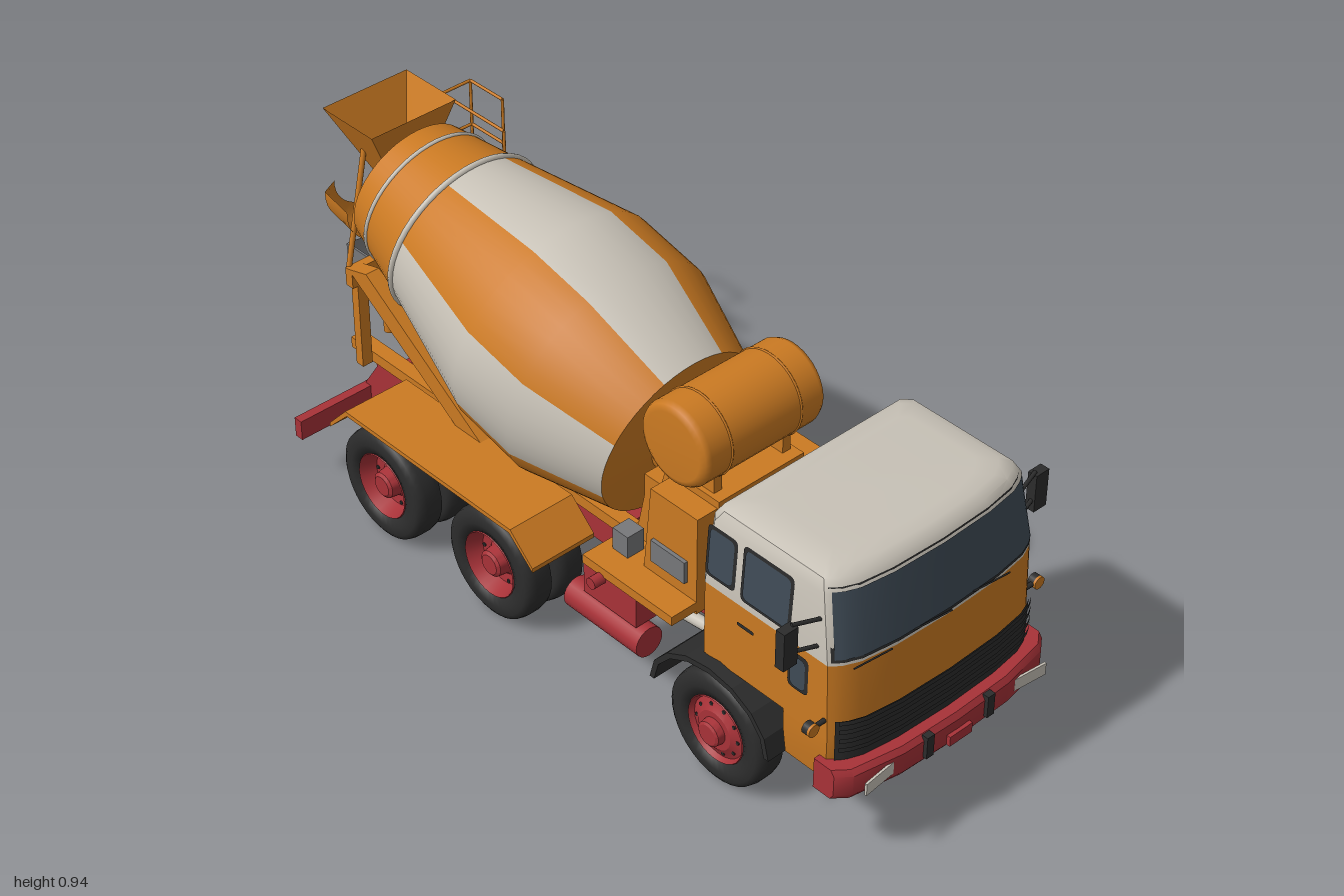
import * as THREE from 'three';
import { toCreasedNormals } from 'three/addons/utils/BufferGeometryUtils.js';

const mat = (name, hex, double) => {
  const m = new THREE.MeshStandardMaterial({ color: hex });
  m.name = name;
  if (double) m.side = THREE.DoubleSide;
  return m;
};
const V = (x, y, z) => new THREE.Vector3(x, y, z);

export function createModel() {
  const orange = mat('orange', 0xcb7a22, true), white = mat('offWhite', 0xc8c2b7), red = mat('red', 0xa83238);
  const black = mat('black', 0x2c2c2c, true), glass = mat('glass', 0x3f4b56, true), grey = mat('grey', 0x77787a, true);
  const root = new THREE.Group();
  root.name = 'mixerTruck';

  // ---- helpers ----
  const add = (name, geo, m, parent = root) => {
    const mesh = new THREE.Mesh(geo, m);
    mesh.name = name;
    parent.add(mesh);
    return mesh;
  };
  const box = (name, m, x0, x1, y0, y1, z0, z1) => {
    const b = add(name, new THREE.BoxGeometry(x1 - x0, y1 - y0, z1 - z0), m);
    b.position.set((x0 + x1) / 2, (y0 + y1) / 2, (z0 + z1) / 2);
    return b;
  };
  const rod = (name, m, a, b, r = 0.006, n = 8) => {
    const mesh = add(name, new THREE.CylinderGeometry(r, r, a.distanceTo(b), n), m);
    mesh.position.copy(a).lerp(b, 0.5);
    mesh.quaternion.setFromUnitVectors(V(0, 1, 0), b.clone().sub(a).normalize());
  };
  const pipe = (name, m, pts, r) => add(name, new THREE.TubeGeometry(new THREE.CatmullRomCurve3(pts, false, 'catmullrom', 0.2), 24, r, 10), m);
  const slab = (name, m, pts, z0, z1) => {
    const shape = new THREE.Shape(pts.map(p => new THREE.Vector2(p[0], p[1])));
    add(name, new THREE.ExtrudeGeometry(shape, { depth: z1 - z0, bevelEnabled: false }), m).position.z = z0;
  };
  const lathe = (pts, seg = 32, p0 = 0, len = Math.PI * 2) =>
    new THREE.LatheGeometry(pts.map(p => new THREE.Vector2(p[0], p[1])), seg, p0, len);
  // stacked cross-sections, optionally closed around and capped
  const loft = (rings, closed = true, caps = true) => {
    const pos = [], n = rings[0].length, tri = (...p) => p.forEach(v => pos.push(v.x, v.y, v.z));
    for (let j = 0; j < rings.length - 1; j++) for (let i = 0; i < (closed ? n : n - 1); i++) {
      const k = (i + 1) % n, a = rings[j], b = rings[j + 1];
      tri(a[i], a[k], b[k]);
      tri(a[i], b[k], b[i]);
    }
    if (caps) for (let i = 1; i < n - 1; i++) {
      const a = rings[0], b = rings[rings.length - 1];
      tri(b[0], b[i], b[i + 1]);
      tri(a[0], a[i + 1], a[i]);
    }
    const g = new THREE.BufferGeometry();
    g.setAttribute('position', new THREE.Float32BufferAttribute(pos, 3));
    return toCreasedNormals(g, 0.6);
  };

  // ---- cab: [y, rear x, front x, half width] ----
  const levels = [[0.2, 0.74, 0.93, 0.3], [0.28, 0.74, 0.945, 0.31], [0.33, 0.495, 0.945, 0.31], [0.53, 0.495, 0.937, 0.31],
    [0.7, 0.51, 0.908, 0.298], [0.726, 0.525, 0.892, 0.285], [0.738, 0.545, 0.872, 0.26], [0.742, 0.58, 0.84, 0.22]];
  const at = y => {
    let i = 0;
    while (i < levels.length - 2 && y > levels[i + 1][0]) i++;
    const t = (y - levels[i][0]) / (levels[i + 1][0] - levels[i][0]);
    return levels[i].map((v, k) => v + (levels[i + 1][k] - v) * t);
  };
  const front = (y, s, off = 0) => {
    const [, , xf, w] = at(y);
    return V(xf - 0.02 * s * s - 0.035 * s ** 8 + off, y, -s * w);
  };
  const steps = [-1, -0.97, -0.92, -0.8, -0.5, 0, 0.5, 0.8, 0.92, 0.97, 1];
  const ring = (y, x0 = at(y)[1]) => {
    const w = at(y)[3];
    return [V(x0, y, w - 0.02), V(x0 + 0.02, y, w), ...steps.map(s => front(y, s)), V(x0 + 0.02, y, -w), V(x0, y, -w + 0.02)];
  };
  const strip = (name, m, y0, y1, off, k) =>
    add(name, loft([y0, y1].map(y => steps.map(s => front(y, s * k, off))), false, false), m);
  add('cabFrontLower', loft([ring(0.2, 0.74), ring(0.28, 0.74), ring(0.33, 0.74)]), orange);
  add('cabBody', loft([ring(0.33), ring(0.53)]), orange);
  add('cabUpper', loft([0.53, 0.7, 0.726, 0.738, 0.742].map(y => ring(y))), white);
  strip('windscreenSeal', black, 0.538, 0.712, 0.002, 0.985);
  strip('windscreen', glass, 0.546, 0.705, 0.004, 0.97);
  strip('grille', black, 0.27, 0.382, 0.006, 0.97);
  for (const y of [0.3, 0.325, 0.35, 0.374]) strip('grilleSlat', black, y, y + 0.012, 0.012, 0.96);

  // rounded side panes that follow the leaning cab wall
  const pane = (name, m, x0, x1, y0, y1, side, off, r = 0.015) => {
    const s = new THREE.Shape();
    s.moveTo(x0 + r, y0).lineTo(x1 - r, y0).quadraticCurveTo(x1, y0, x1, y0 + r).lineTo(x1, y1 - r)
      .quadraticCurveTo(x1, y1, x1 - r, y1).lineTo(x0 + r, y1).quadraticCurveTo(x0, y1, x0, y1 - r)
      .lineTo(x0, y0 + r).quadraticCurveTo(x0, y0, x0 + r, y0);
    const g = new THREE.ShapeGeometry(s, 4), p = g.attributes.position;
    for (let i = 0; i < p.count; i++) p.setZ(i, side * (at(p.getY(i))[3] + off));
    if (side < 0) g.setIndex([...g.index.array].reverse());
    g.computeVertexNormals();
    add(name, g, m);
  };
  for (const s of [1, -1]) {
    for (const [x0, x1, y0, y1] of [[0.515, 0.605, 0.555, 0.688], [0.622, 0.772, 0.548, 0.692], [0.77, 0.83, 0.41, 0.51]]) {
      pane('windowSeal', black, x0, x1, y0, y1, s, 0.002);
      pane('sideWindow', glass, x0 + 0.008, x1 - 0.008, y0 + 0.008, y1 - 0.008, s, 0.004);
    }
    pane('doorHandle', black, 0.62, 0.67, 0.478, 0.488, s, 0.005, 0.004);
    // mirrors and indicators
    box('mirror', black, 0.82, 0.845, 0.545, 0.645, s > 0 ? 0.362 : -0.402, s > 0 ? 0.402 : -0.362);
    for (const y of [0.562, 0.635]) rod('mirrorArm', black, V(0.85, y, s * 0.3), V(0.833, y + 0.012, s * 0.37), 0.005);
    rod('indicatorArm', black, V(0.88, 0.378, s * 0.3), V(0.88, 0.378, s * 0.35), 0.006);
    rod('indicatorHousing', black, V(0.868, 0.378, s * 0.35), V(0.884, 0.378, s * 0.35), 0.016, 14);
    rod('indicatorLens', orange, V(0.884, 0.378, s * 0.35), V(0.89, 0.378, s * 0.35), 0.016, 14);
  }
  box('rearWindowSeal', black, 0.499, 0.503, 0.56, 0.69, -0.21, 0.21).rotation.z = -0.088;
  box('rearWindow', glass, 0.496, 0.5, 0.568, 0.682, -0.202, 0.202).rotation.z = -0.088;
  for (const z of [-0.18, 0, 0.18]) rod('wiper', black, V(0.942, 0.54, z), V(0.938, 0.548, z + 0.11), 0.002);

  // ---- front bumper ----
  const bump = (y, d) => [V(0.87, y, 0.326), ...[-1, -0.9, -0.5, 0, 0.5, 0.9, 1].map(s =>
    V(0.985 - d - 0.02 * s * s - 0.035 * s ** 10, y, -s * 0.326)), V(0.87, y, -0.326)];
  add('frontBumper', loft([bump(0.19, 0.01), bump(0.205, 0), bump(0.258, 0), bump(0.272, 0.01)]), red);
  for (const s of [1, -1]) {
    box('headlight', white, 0.974, 0.98, 0.214, 0.247, s * 0.236 - 0.046, s * 0.236 + 0.046).rotation.y = s * 0.1;
    box('bumperPad', black, 0.975, 0.992, 0.212, 0.272, s * 0.095 - 0.011, s * 0.095 + 0.011);
  }
  box('towHitch', red, 0.98, 0.994, 0.205, 0.232, -0.035, 0.035);

  // ---- wheels ----
  const tyre = [[0.086, -0.034], [0.11, -0.041], [0.13, -0.04], [0.143, -0.032], [0.147, -0.015], [0.147, 0.015],
    [0.143, 0.032], [0.13, 0.04], [0.11, 0.041], [0.086, 0.034], [0.084, 0]];
  const domed = [[0.089, 0.03], [0.085, 0.037], [0.078, 0.024], [0.062, 0.03], [0.05, 0.038], [0.034, 0.038], [0.032, 0.056], [0.026, 0.06], [0, 0.06]];
  const dished = [[0.089, 0.03], [0.085, 0.037], [0.078, 0.02], [0.07, -0.005], [0.045, -0.008], [0.038, 0.0], [0.034, 0.03], [0.026, 0.036], [0, 0.036]];
  const wheel = (x, z, rim) => {
    const g = new THREE.Group();
    g.name = 'wheel';
    g.position.set(x, 0.147, z);
    g.rotation.x = Math.sign(z) * Math.PI / 2;
    add('tyre', lathe(tyre, 36), black, g);
    add('rim', toCreasedNormals(lathe(rim, 28), 0.5), red, g);
    add('innerRim', new THREE.CylinderGeometry(0.086, 0.086, 0.02, 24), black, g).position.y = -0.022;
    for (let i = 0; i < 10; i++) {
      const a = i * Math.PI / 5;
      add('wheelHole', new THREE.CylinderGeometry(0.005, 0.005, 0.006, 8), black, g)
        .position.set(0.064 * Math.cos(a), rim === domed ? 0.028 : -0.006, 0.064 * Math.sin(a));
    }
    root.add(g);
  };
  for (const s of [1, -1]) {
    wheel(0.57, s * 0.29, domed);
    for (const x of [-0.585, -0.19]) {
      wheel(x, s * 0.29, dished);
      wheel(x, s * 0.195, dished);
    }
  }

  // ---- chassis and running gear ----
  for (const s of [1, -1]) {
    box('chassisRail', red, -0.85, 0.93, 0.2, 0.27, s * 0.105 - 0.015, s * 0.105 + 0.015);
    slab('rearBracket', red, [[-0.9, 0.135], [-0.87, 0.135], [-0.76, 0.21], [-0.76, 0.27], [-0.84, 0.27], [-0.9, 0.18]], s * 0.105 - 0.015, s * 0.105 + 0.015);
    pipe('rearSpring', black, [V(-0.6, 0.18, s * 0.13), V(-0.39, 0.21, s * 0.13), V(-0.18, 0.18, s * 0.13)], 0.016);
    pipe('frontSpring', black, [V(0.36, 0.19, s * 0.13), V(0.57, 0.155, s * 0.13), V(0.82, 0.19, s * 0.13)], 0.011);
    rod('springPivot', white, V(-0.39, 0.155, s * 0.06), V(-0.39, 0.155, s * 0.2), 0.026, 16);
    // front mudguard arch
    const arch = [];
    for (let i = 0; i <= 8; i++) arch.push([0.565 + 0.187 * Math.cos(i * Math.PI / 8), 0.19 + 0.145 * Math.sin(i * Math.PI / 8)]);
    for (let i = 8; i >= 0; i--) arch.push([0.565 + 0.173 * Math.cos(i * Math.PI / 8), 0.19 + 0.13 * Math.sin(i * Math.PI / 8)]);
    slab('frontMudguard', black, arch, s > 0 ? 0.19 : -0.343, s > 0 ? 0.343 : -0.19);
  }
  for (const x of [-0.78, -0.39, 0, 0.4, 0.66, 0.85]) box('crossMember', red, x - 0.02, x + 0.02, 0.205, 0.26, -0.1, 0.1);
  for (const x of [-0.585, -0.19]) {
    rod('rearAxle', black, V(x, 0.147, -0.29), V(x, 0.147, 0.29), 0.02, 12);
    add('differential', new THREE.SphereGeometry(0.06, 18, 12), black).position.set(x, 0.15, 0);
  }
  rod('frontAxle', black, V(0.57, 0.15, -0.27), V(0.57, 0.15, 0.27), 0.011, 12);
  rod('steeringRod', black, V(0.68, 0.157, -0.25), V(0.68, 0.157, 0.25), 0.006);
  rod('driveShaft', black, V(-0.58, 0.16, 0), V(0.45, 0.22, 0), 0.014, 12);
  box('engine', black, 0.42, 0.63, 0.19, 0.32, -0.06, 0.06);
  box('rearBumper', red, -0.905, -0.88, 0.125, 0.18, -0.338, 0.338);

  // ---- side equipment ----
  box('batteryBox', red, 0.07, 0.245, 0.195, 0.282, 0.14, 0.262);
  rod('batteryCap', red, V(0.13, 0.272, 0.24), V(0.13, 0.272, 0.295), 0.015, 12);
  rod('airTank', red, V(0.02, 0.153, 0.24), V(0.265, 0.153, 0.24), 0.04, 20);
  box('fuelTank', red, 0.09, 0.255, 0.17, 0.285, -0.3, -0.13);
  rod('rearAirTank', red, V(0.3, 0.15, -0.185), V(0.06, 0.15, -0.185), 0.036, 18);
  pipe('exhaust', black, [V(0.1, 0.2, -0.27), V(0.26, 0.2, -0.24), V(0.31, 0.2, -0.26), V(0.315, 0.2, -0.32)], 0.014);
  pipe('intakePipe', white, [V(0.26, 0.21, 0.16), V(0.4, 0.22, 0.15), V(0.43, 0.3, 0.09), V(0.5, 0.3, 0.07)], 0.016);

  // ---- rear mudguards and subframe ----
  const guard = [[-0.76, 0.235], [-0.69, 0.305], [-0.1, 0.305], [-0.02, 0.235], [-0.02, 0.247], [-0.095, 0.317], [-0.695, 0.317], [-0.76, 0.247]];
  for (const s of [1, -1]) {
    slab('rearMudguard', orange, guard, s > 0 ? 0.15 : -0.338, s > 0 ? 0.338 : -0.15);
    box('subframe', orange, -0.94, 0.38, 0.27, 0.3, s * 0.105 - 0.02, s * 0.105 + 0.02);
    slab('drumSupport', orange, [[-0.86, 0.57], [-0.79, 0.59], [-0.36, 0.3], [-0.45, 0.3]], s * 0.16 - 0.02, s * 0.16 + 0.02);
    box('rearPost', orange, -0.87, -0.845, 0.28, 0.57, s * 0.15 - 0.015, s * 0.15 + 0.015);
    rod('drumRoller', orange, V(-0.715, 0.53, s * 0.1), V(-0.665, 0.515, s * 0.1), 0.035, 18);
  }
  box('rearCrossBeam', orange, -0.87, -0.845, 0.52, 0.57, -0.18, 0.18);
  // spare chute section lying on the rear-side mudguard
  const halfPipe = x => [...Array(9).keys()].map(i =>
    V(x, 0.318 + 0.05 * Math.sin(i * Math.PI / 8), -0.288 + 0.047 * Math.cos(i * Math.PI / 8)));
  add('spareChute', loft([halfPipe(-0.66), halfPipe(-0.365)], false, false), grey);

  // ---- front pedestal, water tank ----
  slab('drumPedestal', orange, [[0.1, 0.3], [0.37, 0.3], [0.37, 0.56], [0.2, 0.56], [0.185, 0.5], [0.13, 0.5], [0.13, 0.44]], -0.13, 0.13);
  slab('pedestalSide', orange, [[0.19, 0.27], [0.365, 0.27], [0.365, 0.54], [0.215, 0.54]], -0.19, 0.19);
  box('pedestalDeck', orange, 0.07, 0.365, 0.28, 0.305, -0.26, 0.265);
  box('controlPanel', grey, 0.225, 0.335, 0.345, 0.405, 0.185, 0.2);
  box('toolBox', grey, 0.1, 0.15, 0.305, 0.365, 0.15, 0.2);
  for (const x of [0.08, 0.22]) box('sideBox', grey, x, x + 0.12, 0.305, 0.34, -0.245, -0.195);
  const tank = add('waterTank', lathe([[0, -0.184], [0.085, -0.184], [0.1, -0.178], [0.106, -0.165], [0.106, 0.165], [0.1, 0.178], [0.085, 0.184], [0, 0.184]], 36), orange);
  tank.position.set(0.277, 0.69, 0);
  tank.rotation.x = Math.PI / 2;
  for (const z of [-0.105, 0.105]) {
    add('tankStrap', new THREE.TorusGeometry(0.106, 0.003, 6, 36), orange).position.set(0.277, 0.69, z);
    box('tankBracket', orange, 0.215, 0.34, 0.55, 0.62, z - 0.012, z + 0.012);
  }

  // ---- mixing drum, built along its own tilted axis ----
  const drum = new THREE.Group();
  drum.name = 'drum';
  drum.position.set(-0.83, 0.75, 0);
  drum.rotation.z = -(Math.PI / 2 + 0.232);
  root.add(drum);
  const Q = Math.PI / 4;
  for (let k = 0; k < 8; k++)
    add('drumPanel', lathe([[0.22, 0.2], [0.305, 0.53], [0.305, 0.72], [0.228, 0.955]], 6, (k - 0.5) * Q, Q), k % 2 ? orange : white, drum);
  add('drumNeck', lathe([[0.172, 0], [0.22, 0.2]], 48), orange, drum);
  add('drumFront', toCreasedNormals(lathe([[0.228, 0.955], [0.09, 0.97], [0.09, 1.03], [0, 1.03]], 48), 0.5), orange, drum);
  add('drumMouth', new THREE.CylinderGeometry(0.171, 0.171, 0.006, 36), orange, drum).position.y = 0.006;
  for (const [r, t, h] of [[0.187, 0.065, 0.006], [0.221, 0.2, 0.008], [0.14, 0, 0.007]]) {
    const band = add('drumRing', new THREE.TorusGeometry(r, h, 8, 48), white, drum);
    band.rotation.x = Math.PI / 2;
    band.position.y = t;
  }
  add('dischargeCollector', lathe([[0.14, -0.115], [0.18, -0.1], [0.18, -0.015]], 20, 0.1, Math.PI - 0.2), orange, drum);

  // ---- hopper, discharge chute ----
  const rect = (y, x0, x1, w) => [V(x0, y, w), V(x1, y, w), V(x1, y, -w), V(x0, y, -w)];
  add('hopper', loft([rect(0.76, -0.9, -0.835, 0.045), rect(0.94, -0.988, -0.805, 0.127)], true, false), orange);
  for (const s of [1, -1]) rod('hopperStay', orange, V(-0.87, 0.56, s * 0.17), V(-0.9, 0.85, s * 0.08), 0.007);
  const trough = (y, z) => [[-0.066, 0.04], [-0.06, -0.02], [-0.04, -0.045], [0.04, -0.045], [0.06, -0.02], [0.066, 0.04]]
    .map(p => V(-0.935 + p[0], y + p[1], z));
  add('chute', loft([trough(0.325, -0.32), trough(0.475, 0), trough(0.485, 0.07)], false, false), grey);
  slab('chuteEnd', grey, [[-1, 0.525], [-0.996, 0.465], [-0.975, 0.44], [-0.895, 0.44], [-0.874, 0.465], [-0.87, 0.525]], 0.07, 0.076);
  rod('chutePivot', orange, V(-0.92, 0.28, 0.02), V(-0.92, 0.43, 0.02), 0.015, 12);

  // ---- platform, railings and ladder ----
  box('platform', grey, -0.985, -0.745, 0.575, 0.587, -0.33, -0.22);
  for (const [x, z] of [[-0.98, -0.315], [-0.86, -0.315], [-0.98, -0.225], [-0.75, -0.225]])
    rod('railPost', orange, V(x, 0.58, z), V(x, 0.835, z), 0.004);
  for (const y of [0.71, 0.835]) {
    rod('sideRail', orange, V(-0.98, y, -0.315), V(-0.86, y, -0.315), 0.004);
    rod('rearRail', orange, V(-0.98, y, -0.315), V(-0.98, y, -0.225), 0.004);
    rod('innerRail', orange, V(-0.98, y, -0.225), V(-0.75, y, -0.225), 0.004);
  }
  for (const x of [-0.845, -0.755]) rod('ladderStile', orange, V(x, 0.15, -0.35), V(x, 0.6, -0.322), 0.005);
  for (let i = 0; i < 7; i++) {
    const y = 0.18 + i * 0.06, z = -0.348 + i * 0.0037;
    rod('ladderRung', orange, V(-0.845, y, z), V(-0.755, y, z), 0.004);
  }
  rod('platformBrace', orange, V(-0.87, 0.4, -0.16), V(-0.87, 0.575, -0.31), 0.007);
  return root;
}
